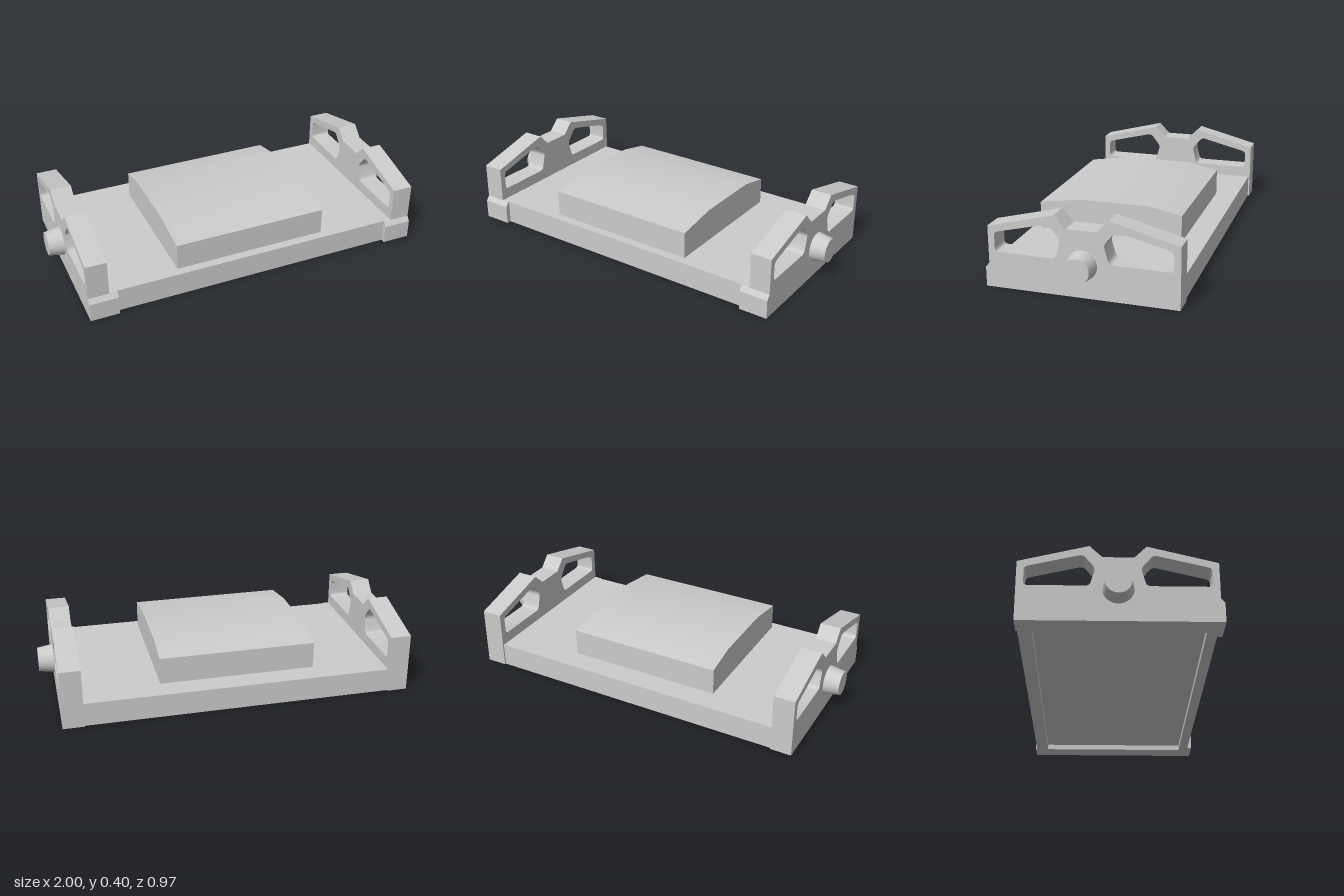
import * as THREE from 'three';
import { toCreasedNormals } from 'three/addons/utils/BufferGeometryUtils.js';

const grey = new THREE.MeshStandardMaterial({ color: 0xcccccc });

function add(parent, name, geometry) {
  const mesh = new THREE.Mesh(geometry, grey);
  mesh.name = name;
  parent.add(mesh);
  return mesh;
}

// Closed outline of (z, y) points
const outline = (pts) => new THREE.Shape(pts.map(([z, y]) => new THREE.Vector2(z, y)));

// Closed path with every corner rounded off by r
function roundedPath(pts, r) {
  const path = new THREE.Path();
  const v = pts.map(([z, y]) => new THREE.Vector2(z, y));
  v.forEach((p, i) => {
    const before = v[(i + v.length - 1) % v.length];
    const after = v[(i + 1) % v.length];
    const a = before.clone().sub(p).setLength(r).add(p);
    const b = after.clone().sub(p).setLength(r).add(p);
    if (i === 0) path.moveTo(a.x, a.y);
    else path.lineTo(a.x, a.y);
    path.quadraticCurveTo(p.x, p.y, b.x, b.y);
  });
  path.closePath();
  return path;
}

// Extrudes a (z, y) shape along x, from x0 to x1
function prism(shape, x0, x1) {
  const g = new THREE.ExtrudeGeometry(shape, { depth: x1 - x0, bevelEnabled: false, curveSegments: 5 });
  g.rotateY(-Math.PI / 2);
  g.translate(x1, 0, 0);
  return toCreasedNormals(g, 0.6);
}

function box(x0, x1, y0, y1, z0, z1) {
  const g = new THREE.BoxGeometry(x1 - x0, y1 - y0, z1 - z0);
  g.translate((x0 + x1) / 2, (y0 + y1) / 2, (z0 + z1) / 2);
  return g;
}

export function createModel() {
  const model = new THREE.Group();
  model.name = 'tray';

  // Deck, hollowed underneath between a front and a back rail
  add(model, 'deck', box(-0.815, 0.815, 0.03, 0.125, -0.478, 0.462));
  add(model, 'frontRail', box(-0.815, 0.815, 0, 0.03, 0.41, 0.462));
  add(model, 'backRail', box(-0.815, 0.815, 0, 0.03, -0.478, -0.41));

  // Raised block with sloping front and back
  add(model, 'raisedBlock', prism(outline([
    [0.414, 0.12], [0.414, 0.267], [0.19, 0.302], [-0.185, 0.302], [-0.355, 0.267], [-0.355, 0.12],
  ]), -0.43, 0.4));

  // End plate outline with two handle openings
  const plate = outline([
    [0.487, 0], [0.487, 0.1], [0.468, 0.125], [0.468, 0.314], [0.127, 0.401], [0.068, 0.34],
    [-0.083, 0.34], [-0.145, 0.401], [-0.486, 0.314], [-0.486, 0],
  ]);
  plate.holes.push(
    roundedPath([[0.435, 0.285], [0.435, 0.185], [0.125, 0.185], [0.099, 0.28], [0.158, 0.353]], 0.02),
    roundedPath([[-0.451, 0.285], [-0.451, 0.185], [-0.142, 0.185], [-0.116, 0.28], [-0.175, 0.353]], 0.02),
  );
  const foot = outline([[0.45, 0], [0.487, 0], [0.487, 0.1], [0.468, 0.125], [0.45, 0.125]]);

  for (const side of [1, -1]) {
    const end = new THREE.Group();
    end.name = side > 0 ? 'leftEnd' : 'rightEnd';
    model.add(end);
    const span = (a, b) => (side > 0 ? [a, b] : [-b, -a]);

    add(end, 'endPlate', prism(plate, ...span(0.81, 0.92)));
    add(end, 'frontFoot', prism(foot, ...span(0.768, 0.812)));

    // Tapered trunnion pin on the outer face
    const pin = new THREE.CylinderGeometry(0.063, 0.077, 0.09, 32);
    pin.rotateZ(-side * Math.PI / 2);
    pin.translate(side * 0.955, 0.167, -0.008);
    add(end, 'pin', pin);
  }
  return model;
}
